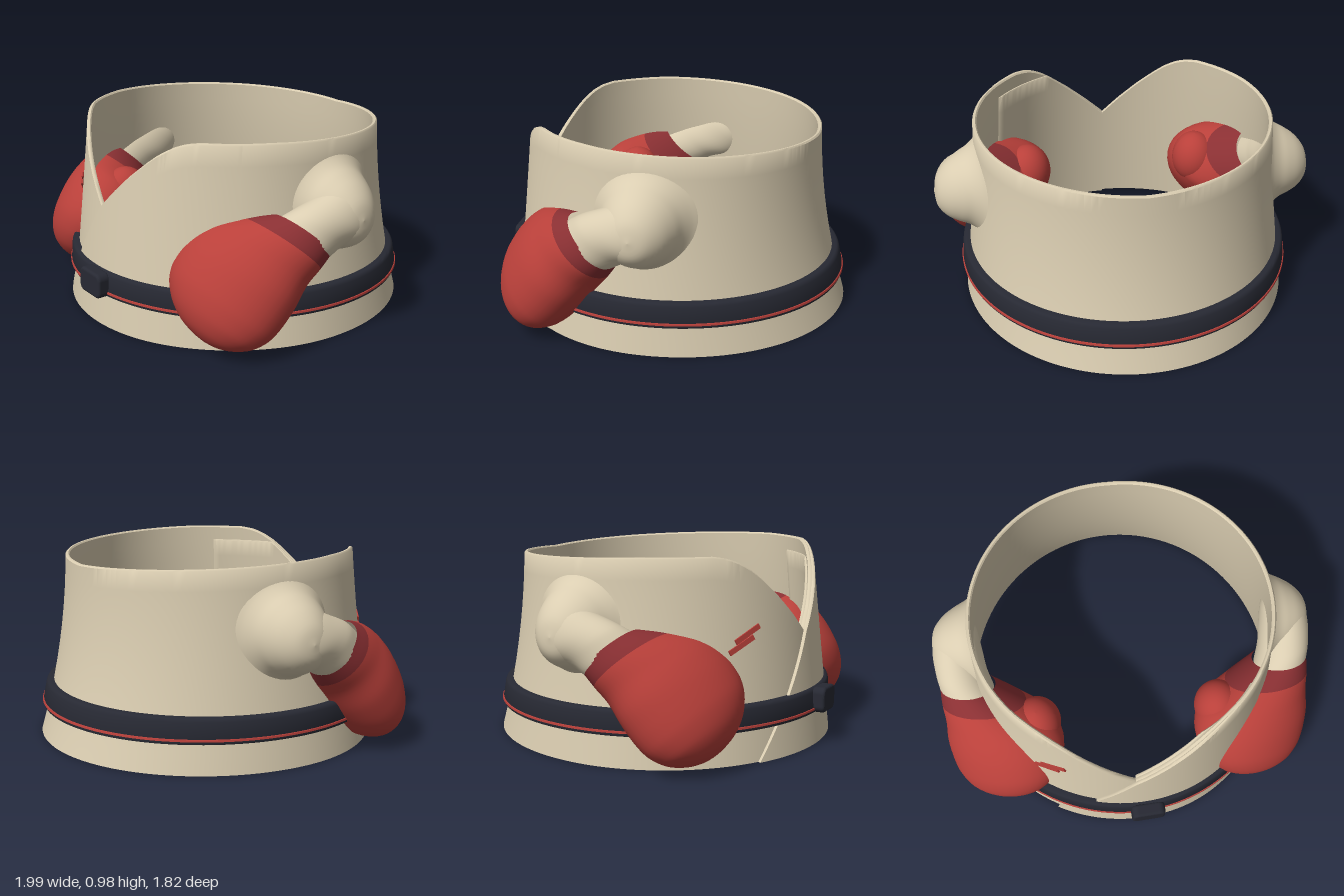
import * as THREE from 'three';
import { toCreasedNormals } from 'three/addons/utils/BufferGeometryUtils.js';

const material = (name, color) => {
  const m = new THREE.MeshStandardMaterial({ color });
  m.name = name;
  return m;
};

// Quad grid from fn(i, j) -> [x, y, z]; either direction may close on itself
function grid(nu, nv, fn, closeU, closeV) {
  const pos = [], index = [];
  for (let j = 0; j < nv; j++) for (let i = 0; i < nu; i++) pos.push(...fn(i, j));
  for (let j = 0; j < (closeV ? nv : nv - 1); j++) {
    for (let i = 0; i < (closeU ? nu : nu - 1); i++) {
      const i2 = (i + 1) % nu, j2 = (j + 1) % nv;
      const a = j * nu + i, b = j * nu + i2, c = j2 * nu + i2, d = j2 * nu + i;
      index.push(a, b, c, a, c, d);
    }
  }
  const g = new THREE.BufferGeometry();
  g.setAttribute('position', new THREE.Float32BufferAttribute(pos, 3));
  g.setIndex(index);
  g.computeVertexNormals();
  return g;
}

// Mirror across x and turn the faces back outward
function mirrored(geometry) {
  const g = geometry.clone().scale(-1, 1, 1);
  const idx = g.index.array;
  for (let k = 0; k < idx.length; k += 3) [idx[k], idx[k + 1]] = [idx[k + 1], idx[k]];
  g.computeVertexNormals();
  return g;
}

// Point on the robe wall; angle 0 is the front, positive toward +x
function wall(a, y, off = 0) {
  const t = Math.max(0, 1 - y / 0.98);
  const rx = 0.77 + 0.1 * Math.pow(t, 1.4) + off;
  const rz = (Math.cos(a) > 0 ? 0.74 + 0.108 * t : 0.75 + 0.16 * t * t) + off;
  return [Math.sin(a) * rx, y, Math.cos(a) * rz];
}

// Height of the collar around the robe
const COLLAR = [[0, 0.58], [0.13, 0.68], [0.27, 0.78], [0.41, 0.87], [0.48, 0.91], [0.56, 0.945],
  [0.64, 0.968], [0.74, 0.98], [1.2, 0.98], [1.57, 0.97], [2.4, 0.945], [3.15, 0.92]];
function collar(angle) {
  let a = Math.abs(angle);
  if (a > Math.PI) a = 2 * Math.PI - a;
  const k = Math.max(1, COLLAR.findIndex((p) => p[0] >= a));
  const [a0, y0] = COLLAR[k - 1], [a1, y1] = COLLAR[k];
  return y0 + (y1 - y0) * (a - a0) / (a1 - a0);
}

// Wall section: up the outside, over a rounded lip, down the inside
function wallSection(thick) {
  const rows = [];
  for (let k = 0; k <= 10; k++) rows.push([k / 10 * 0.992, 0]);
  rows.push([1, -thick * 0.3], [1, -thick * 0.7]);
  for (let k = 10; k >= 0; k--) rows.push([k / 10 * 0.992, -thick]);
  return rows;
}

// Elliptical loft along the forearm; stations are [along, shift, half, centreX, halfX, twist]
const ALONG = new THREE.Vector3(0, -0.73, 0.68), ACROSS = new THREE.Vector3(0, 0.68, 0.73);
function armLoft(stations, rings, from = 0, to = 1) {
  const A = new THREE.CatmullRomCurve3(stations.map((s) => new THREE.Vector3(s[0], s[1], s[2])));
  const B = new THREE.CatmullRomCurve3(stations.map((s) => new THREE.Vector3(s[3], s[4], s[5])));
  return grid(40, rings, (i, j) => {
    const p = from + (to - from) * j / (rings - 1), th = i / 40 * Math.PI * 2;
    const s = A.getPoint(p), w = B.getPoint(p);
    const v = new THREE.Vector3(0, 0.55, 0.175).addScaledVector(ALONG, s.x)
      .addScaledVector(ACROSS, s.y + s.z * Math.sin(th));
    return [w.x + w.y * Math.cos(th) - w.z * Math.sin(th), v.y, v.z];
  }, true, false);
}

// Shoulder bulge flaring into the curved wall; profile is [radius, x]
function shoulder() {
  const curve = new THREE.CatmullRomCurve3([[0.265, 0.77], [0.235, 0.79], [0.205, 0.825], [0.18, 0.875],
    [0.14, 0.935], [0.08, 0.98], [0, 0.995]].map(([r, x]) => new THREE.Vector3(r, x, 0)));
  return grid(48, 25, (i, j) => {
    const p = curve.getPoint(j / 24), th = i / 48 * Math.PI * 2;
    const dy = p.x * Math.cos(th), z = -0.045 + p.x * Math.sin(th);
    return [p.y - 0.52 * z * z - 0.06 * dy, 0.65 + dy - 0.12 * (p.y - 0.77), z];
  }, true, false);
}

export function createModel() {
  const model = new THREE.Group();
  model.name = 'robeTop';
  const cloth = material('cream cloth', 0xdacdb1);
  const red = material('glove red', 0xb9403a);
  const darkRed = material('cuff dark red', 0x8a3033);
  const dark = material('belt black', 0x272933);
  const add = (name, geometry, mat, parent = model) => {
    const mesh = new THREE.Mesh(geometry, mat);
    mesh.name = name;
    parent.add(mesh);
    return mesh;
  };

  // Robe body
  const N = 144, section = wallSection(0.022);
  add('robeBody', toCreasedNormals(grid(N, section.length, (i, j) => {
    const a = i / N * Math.PI * 2;
    return wall(a, section[j][0] * collar(a), section[j][1]);
  }, true, true), 0.7), cloth);

  // Overlapping front flap with a diagonal edge
  const flap = wallSection(0.02);
  add('frontFlap', toCreasedNormals(grid(61, flap.length, (i, j) => {
    const a = -0.5 + i * 0.025;
    const top = a < 0 ? 0.58 * (1 + a / 0.5) : collar(a);
    const off = 0.002 + 0.014 * (1 - THREE.MathUtils.smoothstep(a, 0.3, 1));
    return wall(a, flap[j][0] * top, off + flap[j][1]);
  }, false, true), 0.7), cloth);

  // Under flap lying against the inside, with a level top and an upright end
  const under = wallSection(0.016);
  add('underFlap', toCreasedNormals(grid(41, under.length, (i, j) => {
    const a = i / 40 * 0.97;
    return wall(a, under[j][0] * Math.min(collar(a), 0.9), -0.021 + (i < 40 ? under[j][1] : 0));
  }, false, true), 0.7), cloth);

  // Belt and its thin red stripe, following the robe wall
  const band = (points) => toCreasedNormals(grid(N, points.length, (i, j) => {
    const a = i / N * Math.PI * 2;
    return wall(a, 0.217 + 0.008 * Math.cos(a) + points[j][1], points[j][0]);
  }, true, true), 0.7);
  add('belt', band([[0.016, -0.064], [0.028, -0.06], [0.033, -0.05], [0.036, 0.045],
    [0.032, 0.058], [0.024, 0.063], [-0.005, 0.063], [-0.005, -0.064]]), dark);
  add('beltStripe', band([[0.03, -0.047], [0.038, -0.045], [0.038, -0.035], [0.03, -0.033]]), red);

  // Buckle with rounded corners
  const plate = new THREE.Shape();
  const w = 0.075, h = 0.05, r = 0.02;
  plate.moveTo(-w + r, -h);
  for (const [cx, cy, start] of [[w - r, -h + r, -0.5], [w - r, h - r, 0], [-w + r, h - r, 0.5], [-w + r, -h + r, 1]]) {
    plate.absarc(cx, cy, r, start * Math.PI, (start + 0.5) * Math.PI, false);
  }
  const buckle = add('buckle', new THREE.ExtrudeGeometry(plate,
    { depth: 0.04, bevelSize: 0.014, bevelThickness: 0.014, bevelSegments: 4 }), dark);
  buckle.position.set(0.06, 0.226, 0.854);
  buckle.rotation.set(0, 0.07, -0.05);

  // Two slanted red marks on the right chest
  for (const [x, y] of [[-0.415, 0.613], [-0.445, 0.564]]) {
    const a = Math.asin(x / 0.81), p = wall(a, y, 0.004);
    const mark = add('chestMark', new THREE.BoxGeometry(0.15, 0.025, 0.009), red);
    mark.position.set(...p);
    mark.rotation.set(-0.1, a, 0.47, 'YXZ');
  }

  // Arms: shoulder, sleeve, dark cuff, glove and thumb
  const sleeve = [[-0.37, -0.12, 0, 0.84, 0, 0], [-0.34, -0.12, 0.08, 0.85, 0.06, 0], [-0.25, -0.11, 0.15, 0.865, 0.115, 0],
    [-0.16, -0.085, 0.17, 0.865, 0.128, 0], [-0.06, -0.025, 0.155, 0.85, 0.132, 0], [0.02, 0, 0.15, 0.83, 0.14, 0.015]];
  const glove = [[0, 0.005, 0.16, 0.825, 0.145, 0.015], [0.09, 0.027, 0.198, 0.75, 0.22, 0.03],
    [0.2, 0.05, 0.235, 0.67, 0.29, 0.05], [0.31, 0.057, 0.247, 0.66, 0.303, 0.07], [0.42, 0.054, 0.241, 0.662, 0.288, 0.08],
    [0.5, 0.05, 0.221, 0.67, 0.262, 0.08], [0.58, 0.045, 0.173, 0.68, 0.21, 0.065], [0.635, 0.04, 0.108, 0.685, 0.135, 0.04],
    [0.66, 0.032, 0.045, 0.69, 0.06, 0.015], [0.666, 0.03, 0, 0.69, 0, 0]];
  const thumb = new THREE.SphereGeometry(1, 32, 20).scale(0.125, 0.15, 0.13).translate(0.48, 0.45, 0.38);
  const parts = [
    ['shoulder', shoulder(), cloth],
    ['sleeve', armLoft(sleeve, 30), cloth],
    ['cuff', armLoft(glove, 6, 0, 1 / 9), darkRed],
    ['glove', armLoft(glove, 40, 1 / 9, 1), red],
    ['thumb', thumb, red],
  ];
  for (const side of ['left', 'right']) {
    const arm = new THREE.Group();
    arm.name = side + 'Arm';
    for (const [name, g, mat] of parts) add(name, side === 'left' ? g : mirrored(g), mat, arm);
    model.add(arm);
  }
  return model;
}
